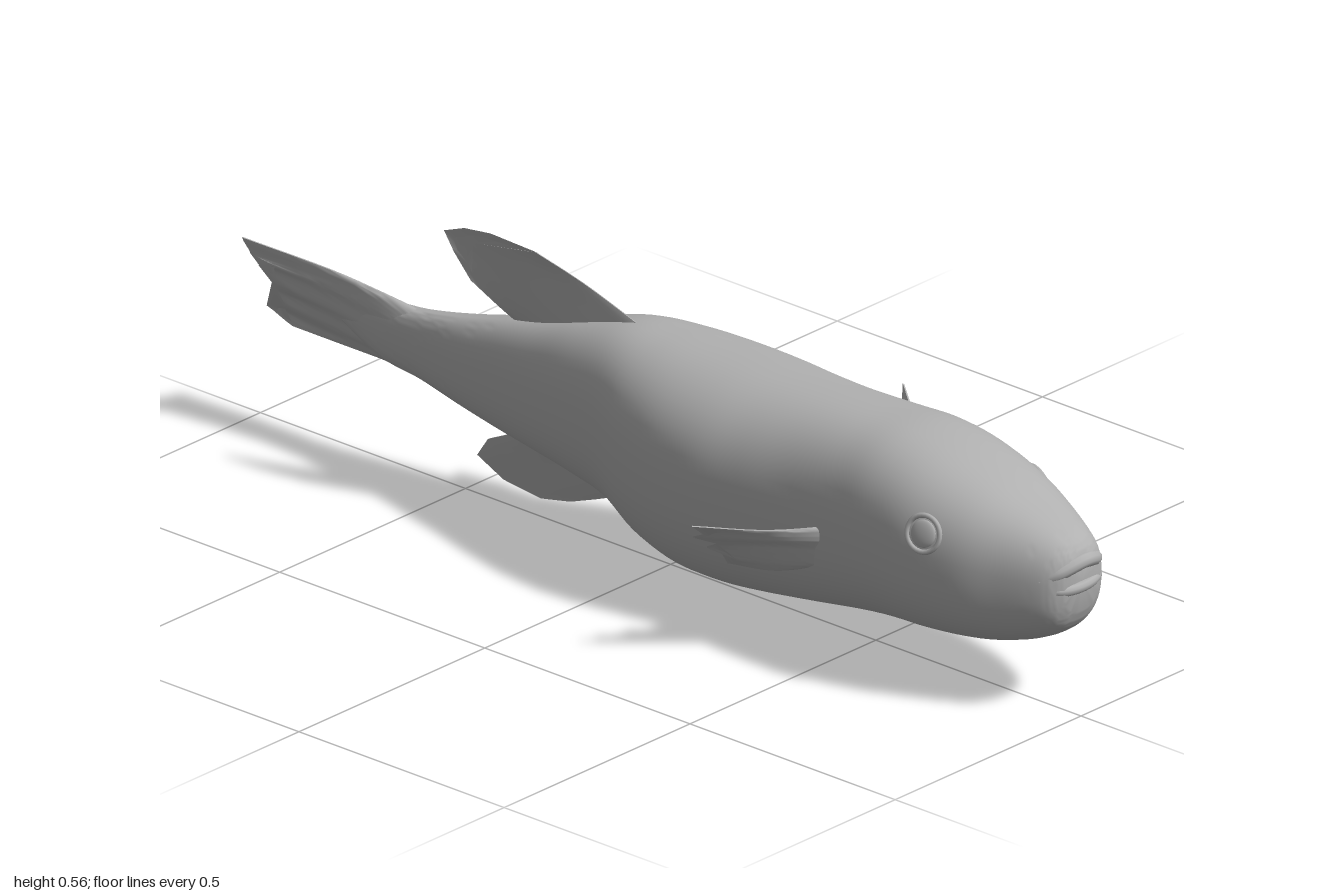
import * as THREE from 'three';
import { toCreasedNormals } from 'three/addons/utils/BufferGeometryUtils.js';

const skin = new THREE.MeshStandardMaterial({ color: 0xb0b0b0 });
skin.name = 'grey skin';

const V = (x, y, z) => new THREE.Vector3(x, y, z);

// Skins a list of closed rings of equal length, with both ends capped and faces turned outward
function loft(rings) {
  const n = rings[0].length, pos = [], idx = [];
  rings.forEach(r => r.forEach(p => pos.push(p.x, p.y, p.z)));
  for (let i = 0; i < rings.length - 1; i++)
    for (let j = 0; j < n; j++) {
      const a = i * n + j, b = i * n + (j + 1) % n;
      idx.push(a, b, a + n, b, b + n, a + n);
    }
  [0, rings.length - 1].forEach((k, end) => {
    const c = rings[k].reduce((s, p) => s.add(p), V(0, 0, 0)).divideScalar(n);
    const ci = pos.length / 3;
    pos.push(c.x, c.y, c.z);
    for (let j = 0; j < n; j++) {
      const a = k * n + j, b = k * n + (j + 1) % n;
      end ? idx.push(a, b, ci) : idx.push(b, a, ci);
    }
  });
  const at = i => V(pos[3 * i], pos[3 * i + 1], pos[3 * i + 2]);
  let volume = 0;
  for (let i = 0; i < idx.length; i += 3)
    volume += at(idx[i]).dot(at(idx[i + 1]).cross(at(idx[i + 2])));
  if (volume < 0) idx.reverse();
  const g = new THREE.BufferGeometry();
  g.setAttribute('position', new THREE.Float32BufferAttribute(pos, 3));
  g.setIndex(idx);
  return toCreasedNormals(g, 1);
}

// Body stations: x, bottom y, top y, right z, left z
const stations = [
  [-0.8, 0.255, 0.285, 0.004, 0.014], [-0.7, 0.205, 0.315, -0.024, 0.026],
  [-0.6, 0.19, 0.325, -0.034, 0.032], [-0.5, 0.17, 0.345, -0.048, 0.045],
  [-0.4, 0.15, 0.37, -0.065, 0.055], [-0.3, 0.135, 0.395, -0.085, 0.07],
  [-0.2, 0.12, 0.425, -0.112, 0.09], [-0.1, 0.096, 0.45, -0.152, 0.112],
  [0, 0.052, 0.454, -0.195, 0.147], [0.1, 0.031, 0.454, -0.218, 0.17],
  [0.2, 0.03, 0.454, -0.218, 0.174], [0.3, 0.039, 0.453, -0.2, 0.16],
  [0.4, 0.053, 0.453, -0.185, 0.145], [0.5, 0.07, 0.453, -0.187, 0.142],
  [0.6, 0.086, 0.453, -0.192, 0.15], [0.7, 0.094, 0.438, -0.186, 0.152],
  [0.8, 0.103, 0.41, -0.165, 0.132], [0.88, 0.12, 0.378, -0.137, 0.098],
  [0.94, 0.145, 0.352, -0.108, 0.07], [0.97, 0.17, 0.335, -0.088, 0.05],
  [0.985, 0.2, 0.318, -0.068, 0.028]
];
const profile = (a, b) => new THREE.CatmullRomCurve3(
  stations.map(s => V(s[0], s[a], s[b])), false, 'catmullrom');
const heights = profile(1, 2), widths = profile(3, 4);

// Squarish oval cross-section; the belly sags towards the right side
function bodyPoint(t, angle) {
  const h = heights.getPoint(t), w = widths.getPoint(t);
  const pow = v => Math.sign(v) * Math.pow(Math.abs(v), 0.82);
  const c = pow(Math.cos(angle)), s = pow(Math.sin(angle));
  const sag = Math.exp(-(((h.x - 0.15) / 0.25) ** 2));
  const mid = (h.y + h.z) / 2 + sag * (0.06 * c - 0.035);
  const y = mid + s * (s > 0 ? h.z - mid : mid - h.y);
  const z = (w.y + w.z) / 2 + c * (w.z - w.y) / 2 + sag * 0.03 * Math.min(s, 0) * (1 - Math.abs(c));
  return V(h.x, y, z);
}
function bodyGeometry() {
  const rings = [];
  for (let i = 0; i <= 100; i++) {
    const ring = [];
    for (let j = 0; j < 48; j++) ring.push(bodyPoint(i / 100, j / 48 * Math.PI * 2));
    rings.push(ring);
  }
  return loft(rings);
}

// Fin made of ribs [root, middle, tip]; thick at the root, thin at the edges
function finGeometry(ribs, normal, thick, rayDepth = 0) {
  const curves = ribs.map(r => new THREE.CatmullRomCurve3(r.map(p => V(...p))));
  const per = 4, m = (ribs.length - 1) * per, rows = 14, rings = [];
  for (let i = 0; i <= rows; i++) {
    const u = i / rows, front = [], back = [];
    for (let j = 0; j <= m; j++) {
      const k = Math.min(Math.floor(j / per), ribs.length - 2);
      const p = curves[k].getPoint(u).lerp(curves[k + 1].getPoint(u), j / per - k);
      const ray = rayDepth * u * Math.cos(j / per * Math.PI);
      const half = 0.0015 + thick * Math.sqrt(Math.max(0, Math.sin(j / m * Math.PI))) * (1 - u) ** 1.2;
      front.push(p.clone().addScaledVector(normal, ray + half));
      back.unshift(p.clone().addScaledVector(normal, ray - half));
    }
    rings.push([...front, ...back]);
  }
  return loft(rings);
}

export function createModel() {
  const model = new THREE.Group();
  model.name = 'fish';
  const add = (name, geometry) => {
    const mesh = new THREE.Mesh(geometry, skin);
    mesh.name = name;
    model.add(mesh);
    return mesh;
  };

  add('body', bodyGeometry());

  // Tail fan with ragged rays, twisted so the upper lobe leans left
  add('tailFin', finGeometry([
    [[-0.58, 0.317, 0], [-0.78, 0.346, 0.016], [-1, 0.365, 0.045]],
    [[-0.58, 0.3, 0], [-0.78, 0.328, 0.014], [-0.985, 0.335, 0.044]],
    [[-0.58, 0.285, 0], [-0.78, 0.31, 0.01], [-0.93, 0.326, 0.034]],
    [[-0.58, 0.27, 0], [-0.78, 0.295, 0.008], [-0.975, 0.312, 0.034]],
    [[-0.58, 0.255, 0], [-0.78, 0.268, 0.004], [-0.9, 0.278, 0.02]],
    [[-0.58, 0.24, 0], [-0.78, 0.25, 0], [-0.955, 0.26, 0.012]],
    [[-0.58, 0.225, 0], [-0.78, 0.225, -0.006], [-0.93, 0.238, 0.004]],
    [[-0.58, 0.21, 0], [-0.78, 0.205, -0.012], [-0.995, 0.212, -0.01]],
    [[-0.58, 0.198, 0], [-0.78, 0.19, -0.014], [-0.93, 0.191, -0.014]]
  ], V(0, 0, 1), 0.03, 0.003));

  // Dorsal fin, leaning to the left
  add('dorsalFin', finGeometry([
    [[-0.08, 0.445, -0.01], [-0.2, 0.503, 0.014], [-0.29, 0.546, 0.042]],
    [[-0.15, 0.42, -0.01], [-0.26, 0.495, 0.017], [-0.39, 0.558, 0.056]],
    [[-0.21, 0.39, -0.01], [-0.32, 0.475, 0.02], [-0.45, 0.552, 0.06]],
    [[-0.27, 0.375, -0.01], [-0.36, 0.45, 0.02], [-0.495, 0.535, 0.062]],
    [[-0.32, 0.365, -0.01], [-0.385, 0.425, 0.02], [-0.475, 0.498, 0.058]],
    [[-0.36, 0.355, -0.01], [-0.39, 0.39, 0.015], [-0.445, 0.445, 0.045]]
  ], V(0, 0.25, 0.97).normalize(), 0.016));

  // Anal fin
  add('analFin', finGeometry([
    [[-0.08, 0.12, -0.03], [-0.18, 0.068, -0.04], [-0.29, 0.022, -0.052]],
    [[-0.15, 0.15, -0.025], [-0.25, 0.075, -0.04], [-0.37, 0.002, -0.06]],
    [[-0.21, 0.165, -0.02], [-0.32, 0.09, -0.04], [-0.46, 0.012, -0.06]],
    [[-0.27, 0.175, -0.015], [-0.37, 0.11, -0.035], [-0.52, 0.045, -0.055]],
    [[-0.34, 0.18, -0.01], [-0.41, 0.13, -0.03], [-0.485, 0.09, -0.045]]
  ], V(0, 0, 1), 0.016));

  // Side fins, swept back and spread
  add('leftSideFin', finGeometry([
    [[0.5, 0.268, 0.125], [0.42, 0.264, 0.205], [0.325, 0.277, 0.302]],
    [[0.495, 0.255, 0.125], [0.42, 0.253, 0.2], [0.36, 0.262, 0.262]],
    [[0.49, 0.243, 0.125], [0.41, 0.242, 0.195], [0.3, 0.238, 0.272]],
    [[0.48, 0.228, 0.125], [0.4, 0.225, 0.185], [0.35, 0.22, 0.222]],
    [[0.475, 0.21, 0.125], [0.39, 0.2, 0.175], [0.29, 0.2, 0.225]],
    [[0.47, 0.19, 0.125], [0.4, 0.18, 0.165], [0.34, 0.175, 0.195]],
    [[0.46, 0.175, 0.12], [0.39, 0.158, 0.15], [0.29, 0.15, 0.168]]
  ], V(0.7, -0.3, 0.65).normalize(), 0.012, 0.003));
  add('rightSideFin', finGeometry([
    [[0.5, 0.275, -0.165], [0.41, 0.303, -0.22], [0.29, 0.347, -0.302]],
    [[0.495, 0.26, -0.165], [0.41, 0.28, -0.217], [0.32, 0.315, -0.275]],
    [[0.49, 0.245, -0.165], [0.41, 0.257, -0.215], [0.29, 0.275, -0.27]],
    [[0.485, 0.225, -0.165], [0.415, 0.23, -0.212], [0.325, 0.24, -0.255]],
    [[0.48, 0.205, -0.165], [0.42, 0.205, -0.21], [0.315, 0.2, -0.252]],
    [[0.475, 0.185, -0.165], [0.425, 0.18, -0.205], [0.35, 0.168, -0.24]],
    [[0.47, 0.17, -0.16], [0.43, 0.16, -0.195], [0.37, 0.153, -0.225]]
  ], V(0.7, -0.3, -0.65).normalize(), 0.012, 0.003));

  // Eyes: low rings with a flat bulge inside, sunk into the skin
  for (const [side, sign, angle] of [['left', 1, 0.28], ['right', -1, Math.PI - 0.28]]) {
    const eye = add(side + 'Eye', new THREE.SphereGeometry(0.026, 20, 12));
    const lid = add(side + 'EyeLid', new THREE.TorusGeometry(0.034, 0.005, 8, 28));
    const spot = bodyPoint((16 - 0.6) / 20, angle);
    for (const part of [eye, lid]) {
      part.position.set(0.74, 0.33, spot.z - sign * 0.004);
      part.rotation.set(-sign * 0.25, sign * 0.2, 0);
    }
    eye.scale.z = 0.25;
  }

  // Lips
  const lip = (name, radius, points) => add(name, new THREE.TubeGeometry(
    new THREE.CatmullRomCurve3(points.map(p => V(...p))), 32, radius, 10));
  lip('upperLip', 0.015, [[0.945, 0.268, 0.05], [0.972, 0.286, 0.025], [0.985, 0.298, -0.02],
    [0.972, 0.286, -0.065], [0.945, 0.268, -0.09]]);
  lip('lowerLip', 0.011, [[0.945, 0.254, 0.054], [0.974, 0.25, 0.028], [0.984, 0.248, -0.02],
    [0.974, 0.25, -0.068], [0.945, 0.254, -0.094]]);
  return model;
}
